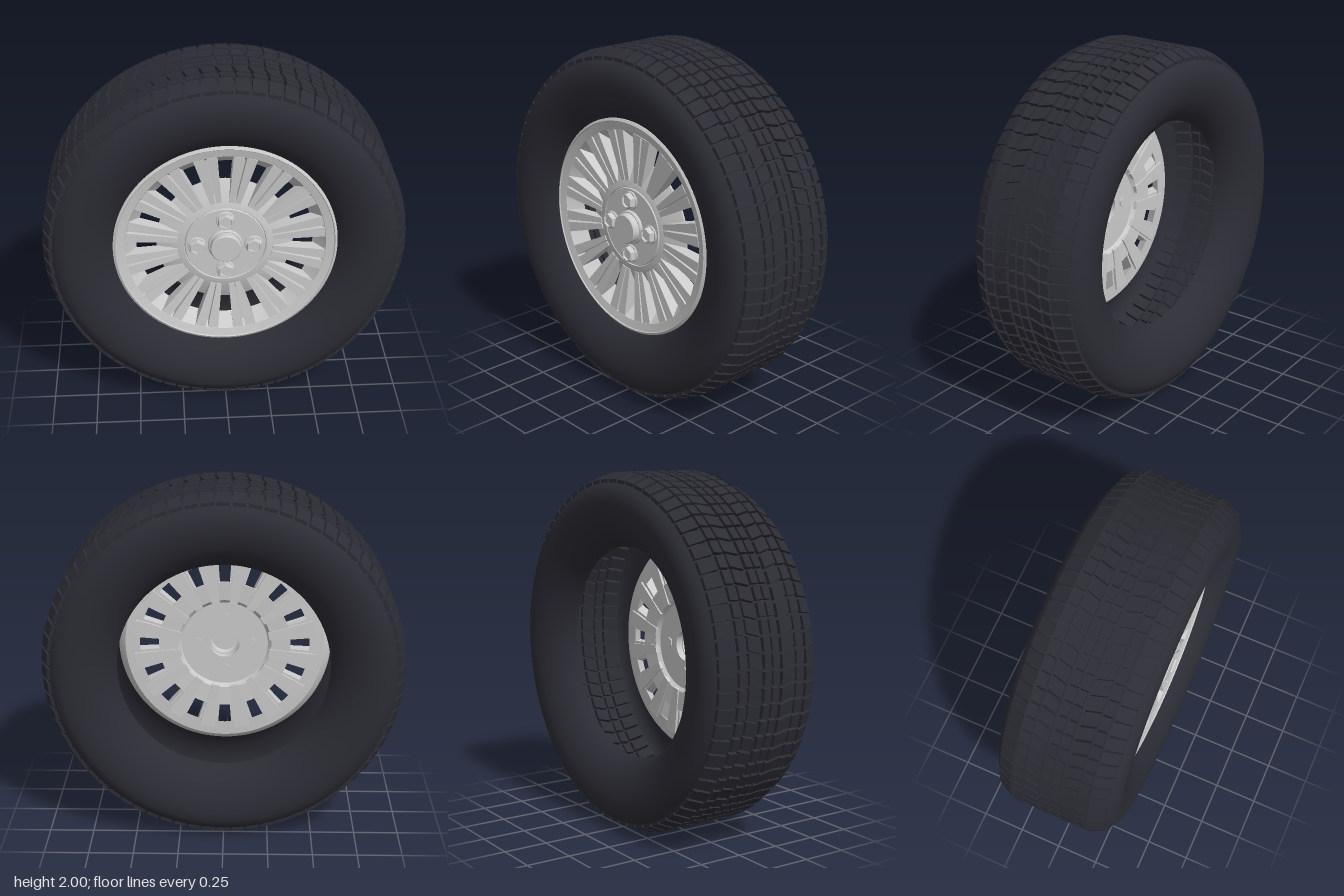
import * as THREE from 'three';
import { mergeGeometries, toCreasedNormals } from 'three/addons/utils/BufferGeometryUtils.js';

const DEG = Math.PI / 180;
const metal = new THREE.MeshStandardMaterial({ color: 0xcccccc });
const metalSheet = new THREE.MeshStandardMaterial({ color: 0xcccccc, side: THREE.DoubleSide });
const rubber = new THREE.MeshStandardMaterial({ color: 0x2c2c35 });
const rubberSheet = new THREE.MeshStandardMaterial({ color: 0x2c2c35, side: THREE.DoubleSide });

// Profile of [radius, z] points turned around the z axis
function turned(points, segments = 72) {
  const g = new THREE.LatheGeometry(points.map(([r, z]) => new THREE.Vector2(r, z)), segments);
  return g.rotateX(Math.PI / 2);
}

// Box bent into polar space: r and z ranges, with the outer radius and front z free to slope.
// quad = [[r,z] inner back, inner front, outer back, outer front]
function sector(angle, half, quad, skew = 0) {
  const g = new THREE.BoxGeometry(2, 1, 1).toNonIndexed();
  const p = g.attributes.position;
  for (let i = 0; i < p.count; i++) {
    const [r, z] = quad[(p.getY(i) > 0 ? 2 : 0) + (p.getZ(i) > 0 ? 1 : 0)];
    const a = angle + p.getX(i) * half + skew * (Math.abs(z) - 0.1);
    p.setXYZ(i, r * Math.sin(a), r * Math.cos(a), z);
  }
  g.computeVertexNormals();
  return g;
}

function add(parent, name, geometry, material) {
  const mesh = new THREE.Mesh(geometry, material);
  mesh.name = name;
  parent.add(mesh);
  return mesh;
}

function buildTyre() {
  const tyre = new THREE.Group();
  tyre.name = 'tyre';

  // Carcass: open shell, mirrored front to back
  const half = [[0.59, 0.19], [0.605, 0.225], [0.63, 0.26], [0.67, 0.295], [0.72, 0.325], [0.78, 0.345],
    [0.83, 0.35], [0.88, 0.348], [0.92, 0.328], [0.95, 0.297], [0.968, 0.26], [0.975, 0.22]];
  const back = half.map(([r, z]) => [r, -z]);
  add(tyre, 'carcass', turned([...back, ...half.slice().reverse()], 128), rubberSheet);

  // Tread: rows of blocks as [z from, z to, outer radius from, outer radius to, skew]
  const rows = [
    [0.006, 0.048, 1, 1, 0],
    [0.066, 0.146, 1, 1, 0.3],
    [0.157, 0.207, 1, 1, 0.1],
    [0.222, 0.305, 1, 0.962, 0],
  ];
  const count = 72;
  const blocks = [];
  for (const [za, zb, ra, rb, skew] of rows) {
    for (let i = 0; i < count; i++) {
      const a = (i * 360 / count) * DEG;
      const h = 2.05 * DEG;
      const d = 0.048;
      blocks.push(sector(a, h, [[ra - d, za], [rb - d, zb], [ra, za], [rb, zb]], skew));
      blocks.push(sector(a, h, [[rb - d, -zb], [ra - d, -za], [rb, -zb], [ra, -za]], skew));
    }
  }
  add(tyre, 'treadBlocks', mergeGeometries(blocks), rubber);
  return tyre;
}

function buildRim() {
  const rim = new THREE.Group();
  rim.name = 'rim';

  // Outer flange with a sloping inner wall
  const flange = [[0.49, 0.16], [0.575, 0.165], [0.6, 0.19], [0.618, 0.22], [0.618, 0.25],
    [0.604, 0.258], [0.6, 0.252], [0.555, 0.242], [0.55, 0.234], [0.49, 0.16]];
  add(rim, 'flange', toCreasedNormals(turned(flange, 96), 0.4), metal);

  // Hub with a central bore and a cone falling away to the windows
  const hub = [[0.085, 0.18], [0.25, 0.18], [0.27, 0.16], [0.38, 0.155], [0.38, 0.165], [0.27, 0.215],
    [0.228, 0.222], [0.224, 0.216], [0.22, 0.224], [0.085, 0.224], [0.085, 0.18]];
  add(rim, 'hub', toCreasedNormals(turned(hub, 72), 0.4), metal);

  // Sixteen spokes: a web carrying two ribs, with windows between
  const ribs = [];
  const webs = [];
  for (let i = 0; i < 16; i++) {
    const mid = (i + 0.5) * 22.5 * DEG;
    for (const side of [-1, 1]) {
      ribs.push(sector(mid + side * 3.75 * DEG, 3.05 * DEG,
        [[0.265, 0.165], [0.265, 0.222], [0.553, 0.165], [0.553, 0.243]]));
    }
    webs.push(sector(mid, 5 * DEG, [[0.26, 0.15], [0.26, 0.195], [0.53, 0.15], [0.53, 0.205]]));
  }
  add(rim, 'spokeRibs', mergeGeometries(ribs), metal);
  add(rim, 'spokeWebs', mergeGeometries(webs), metal);

  // Centre cap: hollow cup with a collar around it
  const cup = [[0.085, 0.18], [0.085, 0.272], [0.079, 0.28], [0, 0.28]];
  add(rim, 'centreCap', toCreasedNormals(turned(cup, 48), 0.4), metalSheet);
  const collar = [[0.08, 0.22], [0.096, 0.22], [0.096, 0.236], [0.09, 0.242], [0.08, 0.242]];
  add(rim, 'capCollar', toCreasedNormals(turned(collar, 48), 0.4), metal);

  // Four wheel nuts: washer, hollow hexagon and bolt
  for (let i = 0; i < 4; i++) {
    const nut = new THREE.Group();
    nut.name = 'wheelNut' + (i + 1);
    nut.position.set(0.157 * Math.sin(i * Math.PI / 2), 0.157 * Math.cos(i * Math.PI / 2), 0);
    const washer = [[0, 0.215], [0.052, 0.215], [0.052, 0.228], [0.047, 0.232], [0, 0.232]];
    add(nut, 'washer', toCreasedNormals(turned(washer, 24), 0.4), metal);
    const hex = [[0.034, 0.22], [0.046, 0.22], [0.046, 0.258], [0.042, 0.264], [0.034, 0.264], [0.034, 0.22]];
    add(nut, 'hexNut', toCreasedNormals(turned(hex, 6), 0.3), metal);
    const bolt = [[0, 0.172], [0.032, 0.172], [0.032, 0.252], [0, 0.252]];
    add(nut, 'bolt', toCreasedNormals(turned(bolt, 6), 0.3), metal);
    rim.add(nut);
  }
  return rim;
}

export function createModel() {
  const wheel = new THREE.Group();
  wheel.name = 'wheel';
  wheel.add(buildTyre(), buildRim());
  wheel.position.y = 1;
  const model = new THREE.Group();
  model.name = 'carWheel';
  model.add(wheel);
  return model;
}
